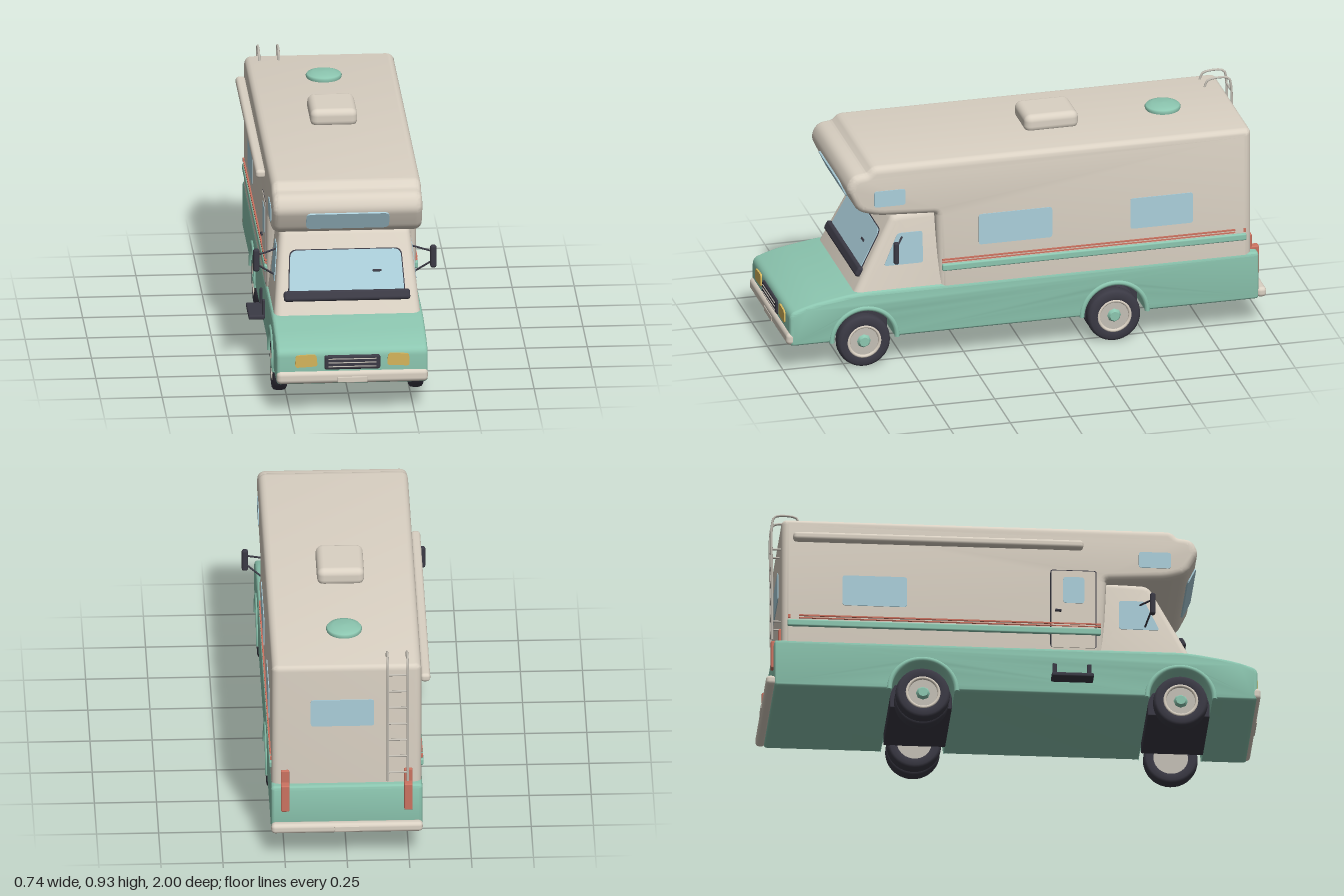
import * as THREE from 'three';
import { toCreasedNormals } from 'three/addons/utils/BufferGeometryUtils.js';
import { RoundedBoxGeometry } from 'three/addons/geometries/RoundedBoxGeometry.js';

const material = (name, color, side = THREE.FrontSide) => {
  const m = new THREE.MeshStandardMaterial({ color, side });
  m.name = name;
  return m;
};
const V = (x, y, z) => new THREE.Vector3(x, y, z);

// Closed outline from [x, y, cornerRadius] points
function roundPoly(points) {
  const shape = new THREE.Shape();
  points.forEach(([x, y, r = 0], i) => {
    const c = new THREE.Vector2(x, y);
    const toward = (p) => new THREE.Vector2(p[0], p[1]).sub(c).setLength(r).add(c);
    const a = r ? toward(points.at(i - 1)) : c;
    if (i === 0) shape.moveTo(a.x, a.y);
    else shape.lineTo(a.x, a.y);
    if (r) {
      const b = toward(points[(i + 1) % points.length]);
      shape.quadraticCurveTo(x, y, b.x, b.y);
    }
  });
  shape.closePath();
  return shape;
}

// Side outline in (z, y) extruded across the width with rounded edges
function sideExtrude(points, halfWidth, bevel) {
  const g = new THREE.ExtrudeGeometry(roundPoly(points), {
    depth: 2 * (halfWidth - bevel), bevelEnabled: bevel > 0, bevelThickness: bevel,
    bevelSize: bevel, bevelOffset: -bevel, bevelSegments: 5, curveSegments: 6,
  });
  return g.translate(0, 0, bevel - halfWidth).rotateY(-Math.PI / 2);
}

// Cab sides lean inward towards the top
function taper(g) {
  const p = g.attributes.position;
  for (let i = 0; i < p.count; i++) p.setX(i, p.getX(i) * (1 - 0.34 * (p.getY(i) - 0.3)));
  return g;
}

// Thin rounded plate facing +z, centred on its own origin
function plateGeometry(w, h, r, depth = 0.008) {
  const s = roundPoly([[-w / 2, -h / 2, r], [w / 2, -h / 2, r], [w / 2, h / 2, r], [-w / 2, h / 2, r]]);
  return new THREE.ExtrudeGeometry(s, { depth, bevelEnabled: false, curveSegments: 5 }).translate(0, 0, -depth / 2);
}

export function createModel() {
  const root = new THREE.Group();
  root.name = 'motorhome';
  const cream = material('cream', 0xdad1c3);
  const green = material('green', 0x8cc6b0);
  const glass = material('glass', 0xabcfdb);
  const dark = material('dark rubber', 0x3b3a45, THREE.DoubleSide);
  const amber = material('amber', 0xd6b65c);
  const red = material('red', 0xcc7361);
  const metal = material('metal', 0xc4bfb5);

  function add(name, geometry, mat, pos = [0, 0, 0], parent = root) {
    const m = new THREE.Mesh(geometry, mat);
    m.name = name;
    m.position.set(...pos);
    parent.add(m);
    return m;
  }
  const box = (name, mat, size, pos, r = 0.008, parent = root) =>
    add(name, new RoundedBoxGeometry(...size, 3, r), mat, pos, parent);
  const rod = (name, mat, a, b, r) =>
    add(name, new THREE.TubeGeometry(new THREE.LineCurve3(V(...a), V(...b)), 1, r, 8), mat);
  // Plate on a side wall: s is the side, z0..z1 and y0..y1 its extents
  function sidePlate(name, mat, s, z0, z1, y0, y1, r, x = 0.301, depth = 0.008) {
    const m = add(name, plateGeometry(z1 - z0, y1 - y0, r, depth), mat, [s * x, (y0 + y1) / 2, (z0 + z1) / 2]);
    m.rotation.y = s * Math.PI / 2;
  }

  // Lower body with wheel arches
  const axles = [0.675, -0.365];
  const lower = [[-0.965, 0.12, 0.015], [-0.965, 0.325, 0.015], [0.7, 0.325, 0.06], [0.9, 0.293, 0.06],
    [0.985, 0.262, 0.025], [0.985, 0.12, 0.02]];
  for (const z of axles) {
    for (let i = 0; i <= 16; i++) {
      const a = i / 16 * Math.PI;
      lower.push([z + 0.128 * Math.cos(a), 0.12 + 0.128 * Math.sin(a)]);
    }
  }
  add('lowerBody', toCreasedNormals(sideExtrude(lower, 0.305, 0.015), 0.6), green);

  // Living box with the bed overhanging the cab
  const upper = [[-0.935, 0.28], [-0.935, 0.865, 0.025], [0.635, 0.865, 0.02], [0.662, 0.838, 0.01],
    [0.722, 0.832, 0.03], [0.748, 0.775, 0.025], [0.7, 0.675, 0.03], [0.62, 0.648, 0.04],
    [0.376, 0.634, 0.01], [0.362, 0.28]];
  add('livingBox', toCreasedNormals(sideExtrude(upper, 0.302, 0.03), 0.6), cream);

  // Cab
  const cab = [[0.3, 0.27], [0.74, 0.27], [0.71, 0.325], [0.547, 0.637, 0.03], [0.3, 0.645]];
  add('cab', toCreasedNormals(taper(sideExtrude(cab, 0.297, 0.03)), 0.6), cream);
  const cabPane = [[0.427, 0.425, 0.012], [0.59, 0.425, 0.012], [0.53, 0.557, 0.015], [0.427, 0.557, 0.012]];
  for (const s of [-1, 1]) {
    add('cabSideWindow', taper(sideExtrude(cabPane, 0.003, 0).translate(s * 0.297, 0, 0)), glass);
  }

  // Windshield on the sloping cab front
  const front = new THREE.Group();
  front.name = 'windshieldGroup';
  front.position.set(0, 0.325, 0.71);
  front.rotation.x = -0.489;
  root.add(front);
  const pane = (g) => new THREE.ExtrudeGeometry(roundPoly([[-0.234 - g, 0.06, 0.02], [0.234 + g, 0.06, 0.02],
    [0.222 + g, 0.26 + g, 0.03], [-0.222 - g, 0.26 + g, 0.03]]), { depth: 0.006, bevelEnabled: false });
  add('windshieldSeal', pane(0.004), dark, [0, 0, -0.002], front);
  add('windshield', pane(0), glass, [0, 0, 0.001], front);
  box('cowl', dark, [0.51, 0.043, 0.026], [0, 0.073, 0.008], 0.012, front);
  box('insideMirror', dark, [0.036, 0.009, 0.006], [0.125, 0.172, 0.008], 0.002, front);

  // Bed window on the nose of the overhang
  const nose = add('bedFrontWindow', plateGeometry(0.335, 0.08, 0.022), glass, [0, 0.727, 0.727]);
  nose.rotation.x = Math.atan(0.048 / 0.1);

  // Side windows, stripes
  for (const s of [-1, 1]) {
    sidePlate('bedSideWindow', glass, s, 0.505, 0.635, 0.693, 0.762, 0.012);
    sidePlate('rearSideWindow', glass, s, -0.69, -0.43, 0.485, 0.617, 0.012);
    sidePlate('redStripe', red, s, -0.865, 0.352, 0.431, 0.437, 0.001, 0.304);
    sidePlate('lowerRedStripe', red, s, -0.865, 0.352, 0.421, 0.425, 0.001, 0.304);
    sidePlate('stripeTip', red, s, -0.91, -0.9, 0.421, 0.437, 0.002, 0.304);
    box('greenMoulding', green, [0.016, 0.03, 1.265], [s * 0.303, 0.4, -0.28], 0.007);
  }
  sidePlate('middleSideWindow', glass, 1, -0.105, 0.2, 0.485, 0.617, 0.012);
  add('rearWindow', plateGeometry(0.255, 0.12, 0.012), glass, [0.017, 0.65, -0.935]).rotation.y = Math.PI;

  // Entry door, awning and step on the right
  sidePlate('doorSeam', dark, -1, 0.148, 0.335, 0.328, 0.672, 0.012, 0.299);
  sidePlate('door', cream, -1, 0.152, 0.331, 0.328, 0.668, 0.01, 0.301);
  sidePlate('doorWindow', glass, -1, 0.2, 0.285, 0.525, 0.64, 0.012, 0.303);
  box('doorHandle', dark, [0.012, 0.01, 0.025], [-0.308, 0.49, 0.18], 0.003);
  box('awning', cream, [0.04, 0.036, 1.17], [-0.319, 0.775, -0.305], 0.014);
  box('step', dark, [0.065, 0.018, 0.17], [-0.338, 0.18, 0.235], 0.006);
  for (const z of [0.165, 0.305]) box('stepArm', dark, [0.012, 0.075, 0.018], [-0.309, 0.215, z], 0.004);

  // Door mirrors on two struts
  for (const s of [-1, 1]) {
    box('doorMirror', dark, [0.025, 0.095, 0.022], [s * 0.357, 0.508, 0.557], 0.009);
    rod('mirrorArm', dark, [s * 0.27, 0.54, 0.51], [s * 0.355, 0.528, 0.556], 0.004);
    rod('mirrorStrut', dark, [s * 0.28, 0.435, 0.53], [s * 0.355, 0.49, 0.556], 0.004);
  }

  // Nose: grille, headlights, bumper
  box('grille', dark, [0.226, 0.06, 0.02], [0, 0.214, 0.984], 0.009);
  for (const y of [0.198, 0.214, 0.23]) box('grilleSlat', metal, [0.195, 0.004, 0.006], [0, y, 0.994], 0.0015);
  for (const s of [-1, 1]) {
    const lamp = roundPoly([[s * 0.14, 0.2, 0.012], [s * 0.231, 0.195, 0.012], [s * 0.229, 0.246, 0.012], [s * 0.145, 0.25, 0.016]]);
    add('headlight', new THREE.ExtrudeGeometry(lamp, { depth: 0.009, bevelEnabled: false }), amber, [0, 0, 0.982]);
  }
  box('frontBumper', cream, [0.61, 0.052, 0.042], [0, 0.152, 0.977], 0.018);
  box('frontPlate', cream, [0.12, 0.024, 0.008], [0, 0.143, 0.996], 0.003);
  box('rearBumper', cream, [0.61, 0.042, 0.04], [0, 0.146, -0.978], 0.016);
  box('rearPlate', cream, [0.1, 0.024, 0.008], [0, 0.146, -0.996], 0.003);

  // Tail lamps stepping over the rear ledge
  for (const s of [-1, 1]) {
    box('tailLampUpper', red, [0.034, 0.075, 0.016], [s * 0.248, 0.352, -0.938], 0.005);
    box('tailLampShelf', red, [0.034, 0.016, 0.04], [s * 0.248, 0.328, -0.954], 0.005);
    box('tailLampLower', red, [0.034, 0.12, 0.016], [s * 0.248, 0.276, -0.968], 0.005);
  }

  // Ladder
  const [xa, xb] = [-0.245, -0.165];
  for (const x of [xa, xb]) {
    const path = new THREE.CatmullRomCurve3([V(x, 0.35, -0.97), V(x, 0.6, -0.97), V(x, 0.86, -0.97),
      V(x, 0.893, -0.96), V(x, 0.9, -0.91), V(x, 0.89, -0.87), V(x, 0.86, -0.86)]);
    add('ladderRail', new THREE.TubeGeometry(path, 40, 0.005, 8), metal);
    for (const y of [0.43, 0.75]) rod('ladderBracket', metal, [x, y, -0.93], [x, y, -0.97], 0.004);
  }
  for (let i = 0; i < 7; i++) {
    const y = 0.39 + i * 0.075;
    rod('ladderRung', metal, [xa, y, -0.97], [xb, y, -0.97], 0.0045);
  }

  // Roof fittings
  box('roofCooler', cream, [0.19, 0.075, 0.225], [0, 0.891, -0.16], 0.028);
  add('roofVent', new THREE.LatheGeometry([[0.068, -0.005], [0.073, 0.01], [0.068, 0.018], [0.045, 0.026], [0, 0.028]]
    .map((p) => new THREE.Vector2(...p)), 32), green, [0, 0.864, -0.643]);

  // Wheels, flares and wells
  const tyre = new THREE.LatheGeometry([[0.07, -0.027], [0.08, -0.03], [0.098, -0.029], [0.107, -0.023], [0.11, -0.01],
    [0.11, 0.01], [0.107, 0.023], [0.098, 0.029], [0.08, 0.03], [0.07, 0.027]].map((p) => new THREE.Vector2(...p)), 36).rotateZ(-Math.PI / 2);
  const disc = new THREE.CylinderGeometry(0.071, 0.071, 0.036, 32).rotateZ(Math.PI / 2);
  const ring = new THREE.TorusGeometry(0.065, 0.007, 8, 32).rotateY(Math.PI / 2);
  const hub = new THREE.CylinderGeometry(0.02, 0.03, 0.016, 8).rotateZ(-Math.PI / 2);
  function wheel(x, z) {
    const g = new THREE.Group();
    g.name = 'wheel';
    g.position.set(x, 0.11, z);
    if (x < 0) g.rotation.y = Math.PI;
    add('tyre', tyre, dark, [0, 0, 0], g);
    add('rimDisc', disc, metal, [0, 0, 0], g);
    add('rimRing', ring, cream, [0.023, 0, 0], g);
    add('hubcap', hub, green, [0.024, 0, 0], g);
    root.add(g);
  }
  const well = new THREE.CylinderGeometry(0.1285, 0.1285, 0.585, 24, 1, true, 0, Math.PI).rotateZ(Math.PI / 2);
  const flare = new THREE.TorusGeometry(0.136, 0.011, 8, 28, Math.PI).rotateY(Math.PI / 2);
  for (const z of axles) {
    add('wheelWell', well, dark, [0, 0.12, z]);
    box('axleHousing', dark, [0.366, 0.1, 0.25], [0, 0.145, z], 0.004);
    for (const s of [-1, 1]) {
      add('wheelFlare', flare, green, [s * 0.302, 0.12, z]);
      wheel(s * 0.275, z);
      if (z < 0) wheel(s * 0.207, z);
    }
  }
  return root;
}
